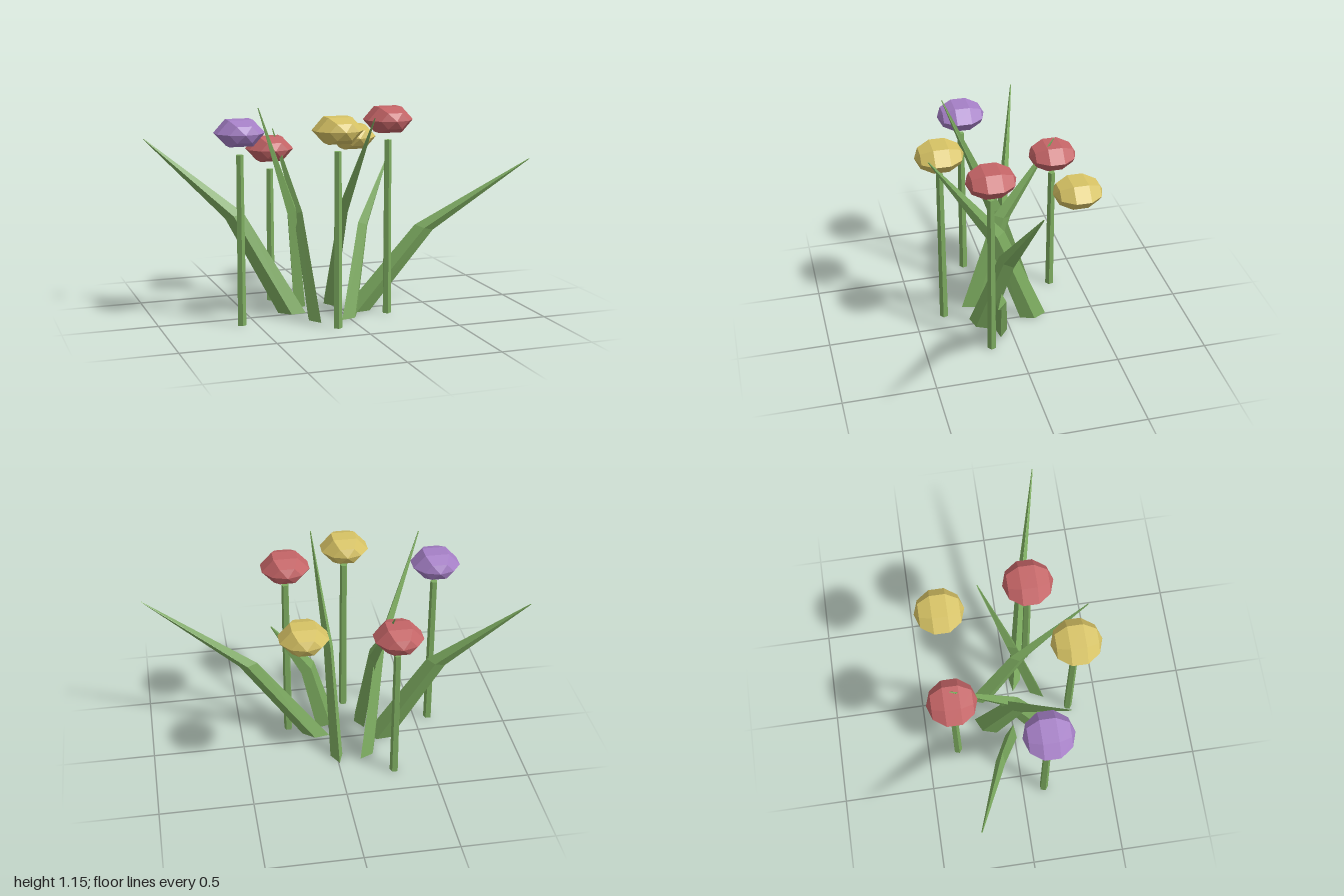
import * as THREE from 'three';

const mat = (name, color) => {
  const m = new THREE.MeshStandardMaterial({ color, flatShading: true });
  m.name = name;
  return m;
};

// Kinked, tapering leaf blade: diamond cross-sections swept through base, bend and tip
function bladeGeometry(base, bend, tip) {
  const centres = [base, bend, tip].map(p => new THREE.Vector3(...p));
  const along = centres[2].clone().sub(centres[0]).setY(0).normalize();
  const across = new THREE.Vector3(along.z, 0, -along.x);
  const widths = [0.075, 0.05, 0.004];
  const thick = [0.034, 0.026, 0.003];
  const drop = [0, -0.015, 0]; // slight tilt of the section at the bend
  const pos = [], idx = [];
  centres.forEach((c, r) => {
    for (const [a, b] of [[1, 0], [0, 1], [-1, 0], [0, -1]]) {
      const p = c.clone().addScaledVector(along, a * widths[r]).addScaledVector(across, b * thick[r]);
      pos.push(p.x, p.y + a * drop[r], p.z);
    }
  });
  for (let r = 0; r < 2; r++) {
    for (let i = 0; i < 4; i++) {
      const a = r * 4 + i, b = r * 4 + (i + 1) % 4;
      idx.push(a, b, b + 4, a, b + 4, a + 4);
    }
  }
  idx.push(0, 2, 1, 0, 3, 2, 8, 9, 10, 8, 10, 11); // end caps
  const g = new THREE.BufferGeometry();
  g.setAttribute('position', new THREE.Float32BufferAttribute(pos, 3));
  g.setIndex(idx);
  const flat = g.toNonIndexed();
  flat.computeVertexNormals();
  return flat;
}

export function createModel() {
  const group = new THREE.Group();
  const green = mat('leafGreen', 0x7dac60);
  const red = mat('petalRed', 0xc46466);
  const yellow = mat('petalYellow', 0xd6c264);
  const purple = mat('petalPurple', 0xa57fc6);

  const add = (name, geometry, material) => {
    const mesh = new THREE.Mesh(geometry, material);
    mesh.name = name;
    group.add(mesh);
    return mesh;
  };

  // Flower heads: squashed low-poly spheres with their poles along z
  const headGeo = new THREE.SphereGeometry(0.133, 6, 5).rotateX(Math.PI / 2).scale(1, 0.62, 1);

  // Head x, y, z, colour and stem height (0 = head without a stem)
  const flowers = [
    [-0.58, 1.02, 0.12, purple, 0.905],
    [-0.12, 1.04, 0.333, yellow, 0.93],
    [0.23, 1.06, 0.137, red, 0.95],
    [0.2, 0.912, -0.333, yellow, 0],
    [-0.29, 0.865, -0.333, red, 0.75],
  ];
  for (const [x, y, z, material, h] of flowers) {
    add('flowerHead', headGeo, material).position.set(x, y, z);
    if (h) add('stem', new THREE.CylinderGeometry(0.02, 0.024, h, 5), green).position.set(x, h / 2, z);
  }

  // Leaves: base, bend and tip centres
  const leaves = [
    [[-0.26, 0, -0.02], [-0.55, 0.54, -0.12], [-1, 0.955, -0.275]],
    [[-0.175, 0, -0.155], [-0.265, 0.57, 0], [-0.51, 1.155, 0.235]],
    [[-0.185, 0, 0.145], [-0.22, 0.55, -0.03], [-0.27, 0.975, -0.335]],
    [[0, 0, -0.155], [0.01, 0.58, 0.06], [0.05, 1.105, 0.42]],
    [[0.01, 0, 0.155], [0.13, 0.48, 0.03], [0.34, 0.855, -0.115]],
    [[0.085, 0, 0.05], [0.445, 0.46, 0.135], [0.995, 0.83, 0.283]],
  ];
  for (const l of leaves) add('leaf', bladeGeometry(...l), green);

  return group;
}
